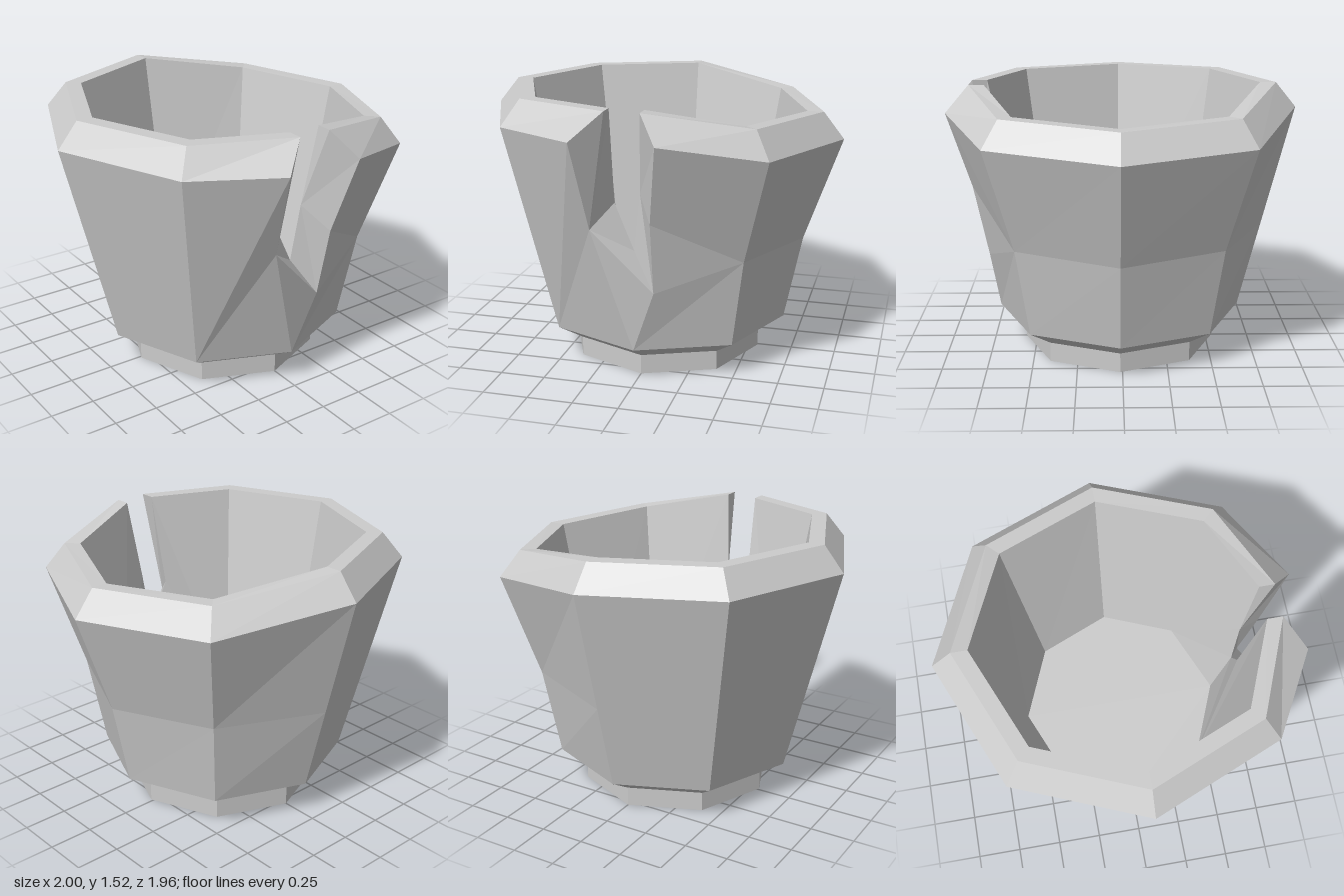
import * as THREE from 'three';

const material = new THREE.MeshStandardMaterial({ color: 0xcccccc, flatShading: true });

// Octagon corner: k = 0 is the front, k = 2 the model's left (+x)
const corner = (k, r, y) => {
  const a = (k * Math.PI) / 4;
  return [r * Math.sin(a), y, r * Math.cos(a) + 0.013];
};
const ring = (r, y) => Array.from({ length: 8 }, (_, k) =>
  corner(k, typeof r === 'function' ? r(k) : r, typeof y === 'function' ? y(k) : y));

// Flat-shaded mesh from convex polygons, each fanned from its first corner
function polyMesh(name, polygons) {
  const pos = [];
  for (const p of polygons)
    for (let i = 1; i < p.length - 1; i++) pos.push(...p[0], ...p[i], ...p[i + 1]);
  const g = new THREE.BufferGeometry();
  g.setAttribute('position', new THREE.Float32BufferAttribute(pos, 3));
  g.computeVertexNormals();
  const mesh = new THREE.Mesh(g, material);
  mesh.name = name;
  return mesh;
}

// Quads joining two rings, from corner `from` up to corner `to`
function band(low, high, from = 0, to = 8) {
  const quads = [];
  for (let k = from; k < to; k++) {
    const n = (k + 1) % 8;
    quads.push([low[k], low[n], high[n], high[k]]);
  }
  return quads;
}

export function createModel() {
  const group = new THREE.Group();
  group.name = 'crackedPot';

  // The +x side of the rim sags and its wall is slightly dented
  const sagged = (k) => k >= 1 && k <= 3;
  const sag = (k) => (k === 2 ? 0.12 : sagged(k) ? 0.1 : 0);
  const foot0 = ring(0.553, 0);
  const foot1 = ring(0.553, 0.11);
  const base = ring(0.7, 0.2);
  const mid = ring((k) => (sagged(k) ? 0.797 : 0.827), (k) => (k === 2 ? 0.68 : 0.7));
  const rim = ring(1, (k) => 1.38 - sag(k));
  const lip = ring(0.885, (k) => 1.52 - sag(k) * 0.95);
  const inner = ring(0.795, (k) => 1.52 - sag(k) * 0.95);
  const floor = ring(0.575, 0.3);

  // Crack outline: left bank, bottom, right bank
  const La = [-0.25, 1.38, 0.97], Lt = [-0.1, 1.52, 0.85], Li = [-0.1, 1.52, 0.765];
  const Lm = [-0.11, 1.0, 0.66], Lo = [-0.2, 0.89, 0.81];
  const tip = [0.125, 0.55, 0.757], notch = [0, 0.75, 0.675];
  const Ra = [0.19, 1.38, 0.97], Rt = [0.085, 1.52, 0.85], Ri = [0.085, 1.52, 0.765];
  const Rm = [0.04, 1.07, 0.7], Ro = [0.13, 0.95, 0.84];

  group.add(polyMesh('foot', [...band(foot0, foot1), [...foot0].reverse()]));
  group.add(polyMesh('underside', band(foot1, base)));

  // Outer wall, with the two front panels shaped around the crack
  group.add(polyMesh('outerWall', [
    ...band(base, mid, 1, 7),
    ...band(mid, rim, 1, 7),
    [base[7], base[0], Lo, La, rim[7]],
    [base[0], tip, Lo],
    [mid[1], rim[1], Ra, Ro, tip, base[0], base[1]],
  ]));

  group.add(polyMesh('rimBevel', [
    ...band(rim, lip, 1, 7),
    [rim[7], La, Lt, lip[7]],
    [Ra, rim[1], lip[1], Rt],
  ]));

  group.add(polyMesh('rimTop', [
    ...band(lip, inner, 1, 7),
    [lip[7], Lt, Li, inner[7]],
    [Rt, lip[1], inner[1], Ri],
  ]));

  group.add(polyMesh('innerWall', [
    ...band(inner, floor, 1, 7),
    [floor[7], inner[7], Li, Lm, notch, floor[0]],
    [floor[1], floor[0], notch, Rm, Ri, inner[1]],
  ]));

  group.add(polyMesh('innerFloor', [floor]));

  // Broken faces inside the crack
  group.add(polyMesh('crack', [
    [Lo, Lm, Li, Lt, La],
    [Lo, tip, notch, Lm],
    [Rm, notch, tip, Ro, Ra, Rt, Ri],
  ]));

  return group;
}
